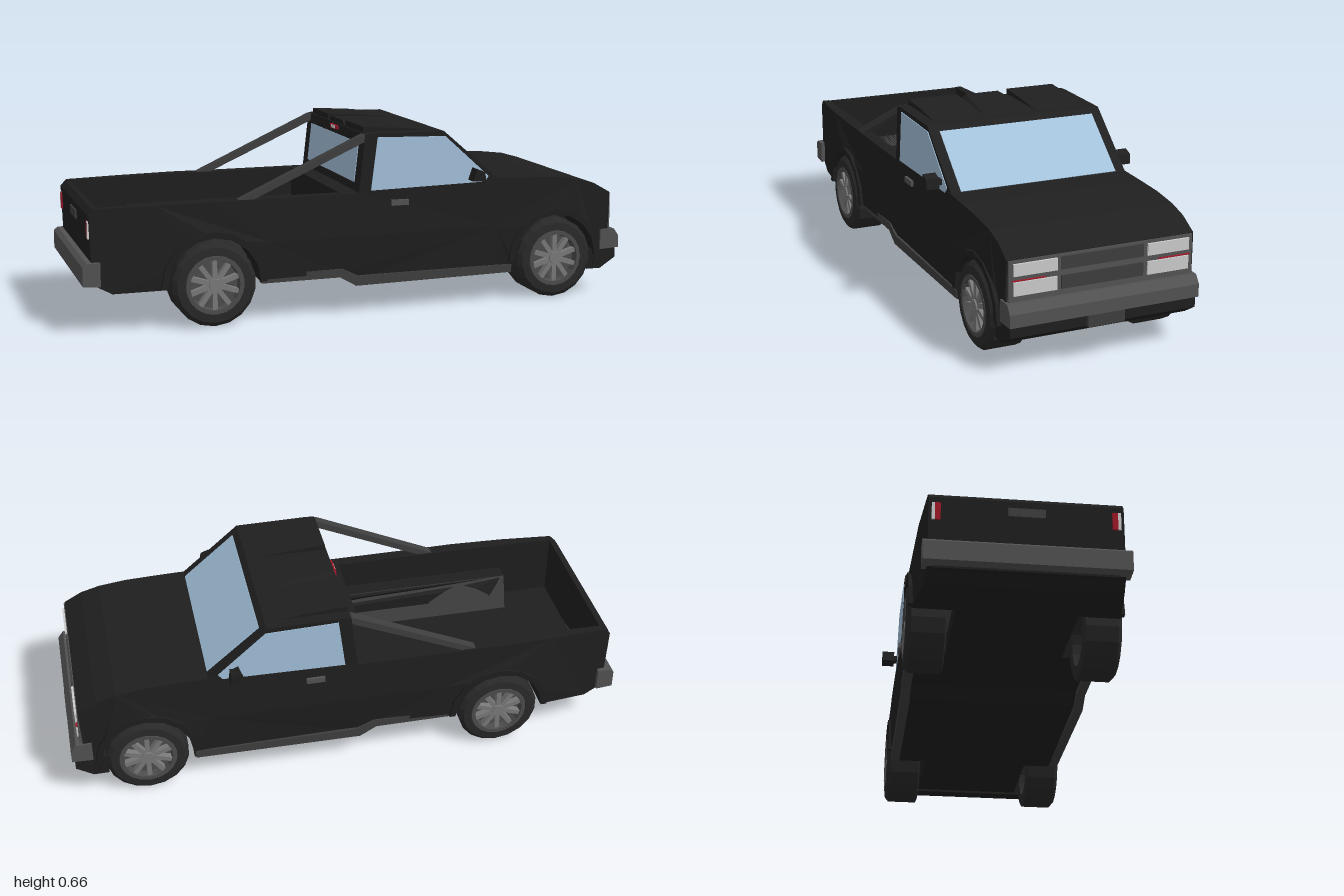
import * as THREE from 'three';

const mat = (color) => new THREE.MeshStandardMaterial({ color, flatShading: true, side: THREE.DoubleSide });
const M = {
  body: mat(0x1f1f1f), trim: mat(0x3e3e3e), bumper: mat(0x525252), tyre: mat(0x292929),
  rim: mat(0x4c4c4c), hub: mat(0x7a7a7a), glass: mat(0xa4c2dc), lamp: mat(0xc4c4c4), red: mat(0xa01828),
};
const WHEELS = [-0.555, 0.73], AXLE = 0.147;

export function createModel() {
  const root = new THREE.Group();
  root.name = 'pickupTruck';
  // the truck stands at a very slight yaw
  root.rotation.y = 0.012;

  const add = (name, geo, material, parent = root) => {
    const m = new THREE.Mesh(geo, material);
    m.name = name;
    parent.add(m);
    return m;
  };
  const box = (name, material, x0, x1, y0, y1, z0, z1) => {
    const m = add(name, new THREE.BoxGeometry(x1 - x0, y1 - y0, z1 - z0), material);
    m.position.set((x0 + x1) / 2, (y0 + y1) / 2, (z0 + z1) / 2);
    return m;
  };
  // side profile extruded from z0 to z1; an optional rule moves each vertex to a new z
  const slab = (name, material, pts, z0, z1, rule) => {
    const shape = new THREE.Shape(pts.map(([x, y]) => new THREE.Vector2(x, y)));
    const geo = new THREE.ExtrudeGeometry(shape, { depth: z1 - z0, bevelEnabled: false }).translate(0, 0, z0);
    if (rule) {
      const p = geo.attributes.position;
      for (let i = 0; i < p.count; i++) p.setZ(i, rule(p.getX(i), p.getY(i), p.getZ(i)));
      geo.computeVertexNormals();
    }
    return add(name, geo, material);
  };
  const bothSides = (fn) => [1, -1].forEach((s) => fn(s, s > 0 ? 'left' : 'right'));
  const span = (s, a, b) => (s > 0 ? [a, b] : [-b, -a]);

  // wheel arch outline, front to rear
  const arc = (cx, r, n = 8) => Array.from({ length: n + 1 }, (_, i) => {
    const a = (Math.PI * i) / n;
    return [cx + r * Math.cos(a), AXLE + r * Math.sin(a)];
  });
  const arch = (cx, yFront, yRear) => [[cx + 0.165, yFront], ...arc(cx, 0.165), [cx - 0.165, yRear]];

  // lower edge from front to rear, with or without wheel arches
  const under = (notched) => [
    [0.95, 0.24], [0.93, 0.1], ...(notched ? arch(WHEELS[1], 0.1, 0.108) : []),
    [-0.04, 0.115], [-0.1, 0.15], ...(notched ? arch(WHEELS[0], 0.15, 0.14) : []),
    [-0.9, 0.135], [-0.965, 0.17],
  ];
  const nose = [[0.5, 0.455], [0.6, 0.452], [0.72, 0.447], [0.82, 0.435], [0.89, 0.415], [0.955, 0.378]];

  // centre of the body with the bed floor
  slab('bodyCore', M.body, [...under(false), [-0.965, 0.2], [-0.09, 0.2], [-0.09, 0.43], ...nose], -0.2, 0.2);

  // outer skin panels
  const skins = {
    RearQuarter: [[-0.36, 0.15], ...arch(WHEELS[0], 0.15, 0.14), [-0.9, 0.135], [-0.965, 0.17], [-0.972, 0.405],
      [-0.95, 0.427], [-0.75, 0.429], [-0.55, 0.431], [-0.36, 0.43], [-0.356, 0.28]],
    Door: [[0.5, 0.108], [-0.04, 0.115], [-0.1, 0.15], [-0.36, 0.15], [-0.356, 0.28], [-0.36, 0.43],
      [-0.03, 0.43], [0.5, 0.455], [0.496, 0.28]],
    FrontWing: [[0.95, 0.24], [0.93, 0.1], ...arch(WHEELS[1], 0.1, 0.108), [0.5, 0.108], [0.496, 0.28], ...nose],
  };
  // skin swells around the wheels and narrows at the tail
  const skinZ = (x, y) => {
    const swell = WHEELS.reduce((t, w, i) => t + (i ? 0.015 : 0.023) * Math.exp(-(((x - w) / 0.24) ** 2)), 0);
    const low = THREE.MathUtils.clamp((0.45 - y) / 0.13, 0.15, 1);
    return 0.327 + swell * low - 0.065 * Math.max(0, -0.7 - x) - (y < 0.13 ? 0.006 : 0);
  };

  bothSides((s, side) => {
    const z = (a, b) => span(s, a, b);
    for (const [part, pts] of Object.entries(skins)) {
      slab(side + part, M.body, pts, ...z(0.285, 0.33), (x, y, v) => (Math.abs(v) > 0.3 ? s * skinZ(x, y) : v));
    }
    // inner side with the wheel housing, its bed face leaning outwards
    slab(side + 'InnerSide', M.body, [...under(true), [-0.965, 0.2], [-0.74, 0.2], [-0.74, 0.325],
      [-0.09, 0.325], [-0.09, 0.43], ...nose], ...z(0.2, 0.285),
    (x, y, v) => (x < -0.1 && y > 0.3 && Math.abs(v) < 0.21 ? s * 0.225 : v));
    const liner = box(side + 'BedLiner', M.trim, -0.74, -0.09, 0.197, 0.328, s * 0.207 - 0.004, s * 0.207 + 0.004);
    liner.rotation.x = s * 0.31;

    // arch lips and sill
    WHEELS.forEach((w, i) => {
      slab(side + (i ? 'Front' : 'Rear') + 'ArchLip', M.body,
        [...arc(w, 0.185), ...arc(w, 0.163).reverse()], ...z(0.3, i ? 0.344 : 0.352));
    });
    slab(side + 'Sill', M.trim, [[0.56, 0.105], [0.56, 0.135], [-0.03, 0.135], [-0.09, 0.165], [-0.385, 0.165],
      [-0.385, 0.135], [-0.1, 0.135], [-0.04, 0.1]], ...z(0.3, 0.333));

    // side window, handle and mirror
    slab(side + 'SideWindow', M.glass, [[0.016, 0.437], [0.04, 0.624], [0.295, 0.617], [0.465, 0.465], [0.45, 0.445]],
      ...z(0.32, 0.3285));
    box(side + 'DoorHandle', M.bumper, 0.09, 0.155, 0.38, 0.4, ...z(0.32, 0.338));
    slab(side + 'Mirror', M.body, [[0.38, 0.458], [0.43, 0.455], [0.425, 0.49], [0.395, 0.502]], ...z(0.34, 0.386));
    box(side + 'MirrorArm', M.body, 0.395, 0.425, 0.465, 0.485, ...z(0.32, 0.345));

    // sloping bar from cab roof to bed rail
    slab(side + 'BedBar', M.trim, [[-0.468, 0.427], [-0.415, 0.427], [0, 0.612], [0, 0.635], [-0.01, 0.635]], ...z(0.29, 0.324));

    // lamps
    [[0.325, 0.365], [0.26, 0.305]].forEach(([y0, y1], i) => {
      box(side + (i ? 'Lower' : 'Upper') + 'Headlamp', M.lamp, 0.94, 0.966, y0, y1, ...z(0.16, 0.31));
    });
    box(side + 'Marker', M.red, 0.94, 0.966, 0.308, 0.311, ...z(0.2, 0.315));
    box(side + 'TailLamp', M.red, -0.976, -0.95, 0.325, 0.385, ...z(0.272, 0.29));
    box(side + 'ReverseLamp', M.lamp, -0.976, -0.95, 0.325, 0.385, ...z(0.29, 0.3));

    // raised roof ribs
    slab(side + 'RoofRib', M.body, [[0, 0.63], [0, 0.657], [0.14, 0.648], [0.26, 0.634]], ...z(0.1, 0.285));
  });
  // centre rib with sloping ends
  slab('centreRoofRib', M.body, [[0, 0.63], [0, 0.653], [0.14, 0.646], [0.26, 0.634]], -0.095, 0.095,
    (x, y, v) => (y > 0.64 ? v * 0.67 : v));

  // cab
  slab('cab', M.body, [[-0.03, 0.42], [-0.005, 0.636], [0.03, 0.638], [0.29, 0.635], [0.5, 0.455], [0.5, 0.42]], -0.326, 0.326);
  const screen = box('windscreen', M.glass, 0.281, 0.527, 0.534, 0.54, -0.29, 0.29);
  screen.rotation.z = -0.709;
  const rear = box('rearWindow', M.glass, -0.0195, -0.0115, 0.46, 0.6, -0.27, 0.27);
  rear.rotation.z = -0.115;
  box('highBrakeLamp', M.red, -0.013, 0.01, 0.615, 0.63, -0.04, 0.04);
  box('cargoLamp', M.lamp, -0.015, 0.01, 0.617, 0.628, -0.02, 0.02);

  // tailgate and rear bumper
  slab('tailgate', M.body, [[-0.965, 0.16], [-0.973, 0.405], [-0.955, 0.424], [-0.94, 0.424], [-0.94, 0.16]], -0.29, 0.29);
  box('tailgateHandle', M.trim, -0.977, -0.965, 0.35, 0.38, -0.06, 0.06);
  slab('rearBumper', M.bumper, [[-0.94, 0.165], [-1, 0.17], [-1, 0.235], [-0.985, 0.247], [-0.94, 0.247]], -0.328, 0.328);

  // grille and front bumper
  slab('grilleSurround', M.bumper, [[0.93, 0.235], [0.962, 0.235], [0.958, 0.376], [0.93, 0.376]], -0.325, 0.325);
  box('upperGrille', M.trim, 0.94, 0.965, 0.325, 0.367, -0.145, 0.145);
  box('lowerGrille', M.trim, 0.94, 0.965, 0.26, 0.305, -0.145, 0.145);
  slab('frontBumper', M.bumper, [[0.92, 0.165], [0.995, 0.168], [0.995, 0.212], [0.975, 0.24], [0.92, 0.24]], -0.336, 0.336);
  slab('frontValance', M.body, [[0.87, 0.092], [0.925, 0.092], [0.985, 0.13], [0.985, 0.168], [0.87, 0.168]], -0.33, 0.33);
  box('numberPlate', M.trim, 0.97, 0.997, 0.128, 0.168, -0.065, 0.065);

  // wheels, open at the back, built with the outer face towards +z
  const ring = (profile, n) => new THREE.LatheGeometry(profile.map(([r, h]) => new THREE.Vector2(r, h)), n).rotateX(Math.PI / 2);
  const tyreGeo = ring([[0.098, 0.045], [0.098, -0.063], [0.135, -0.065], [0.147, -0.06], [0.147, 0.05],
    [0.132, 0.063], [0.104, 0.066], [0.098, 0.045]], 18);
  const rimGeo = ring([[0.105, 0.062], [0.102, 0.067], [0.088, 0.067], [0.084, 0.038], [0, 0.038]], 20);
  const hubGeo = new THREE.CylinderGeometry(0.022, 0.026, 0.03, 10).rotateX(Math.PI / 2).translate(0, 0, 0.05);
  const spokeGeo = new THREE.BoxGeometry(0.017, 0.07, 0.022).translate(0, 0.053, 0.049);
  bothSides((s, side) => WHEELS.forEach((w, i) => {
    const wheel = new THREE.Group();
    wheel.name = side + (i ? 'Front' : 'Rear') + 'Wheel';
    add('tyre', tyreGeo, M.tyre, wheel);
    add('rim', rimGeo, M.rim, wheel);
    add('hub', hubGeo, M.hub, wheel);
    for (let k = 0; k < 10; k++) add('spoke', spokeGeo, M.hub, wheel).rotation.z = (k * Math.PI) / 5;
    wheel.position.set(w, AXLE, s * (i ? 0.28 : 0.289));
    if (s < 0) wheel.rotation.y = Math.PI;
    root.add(wheel);
  }));

  return root;
}
